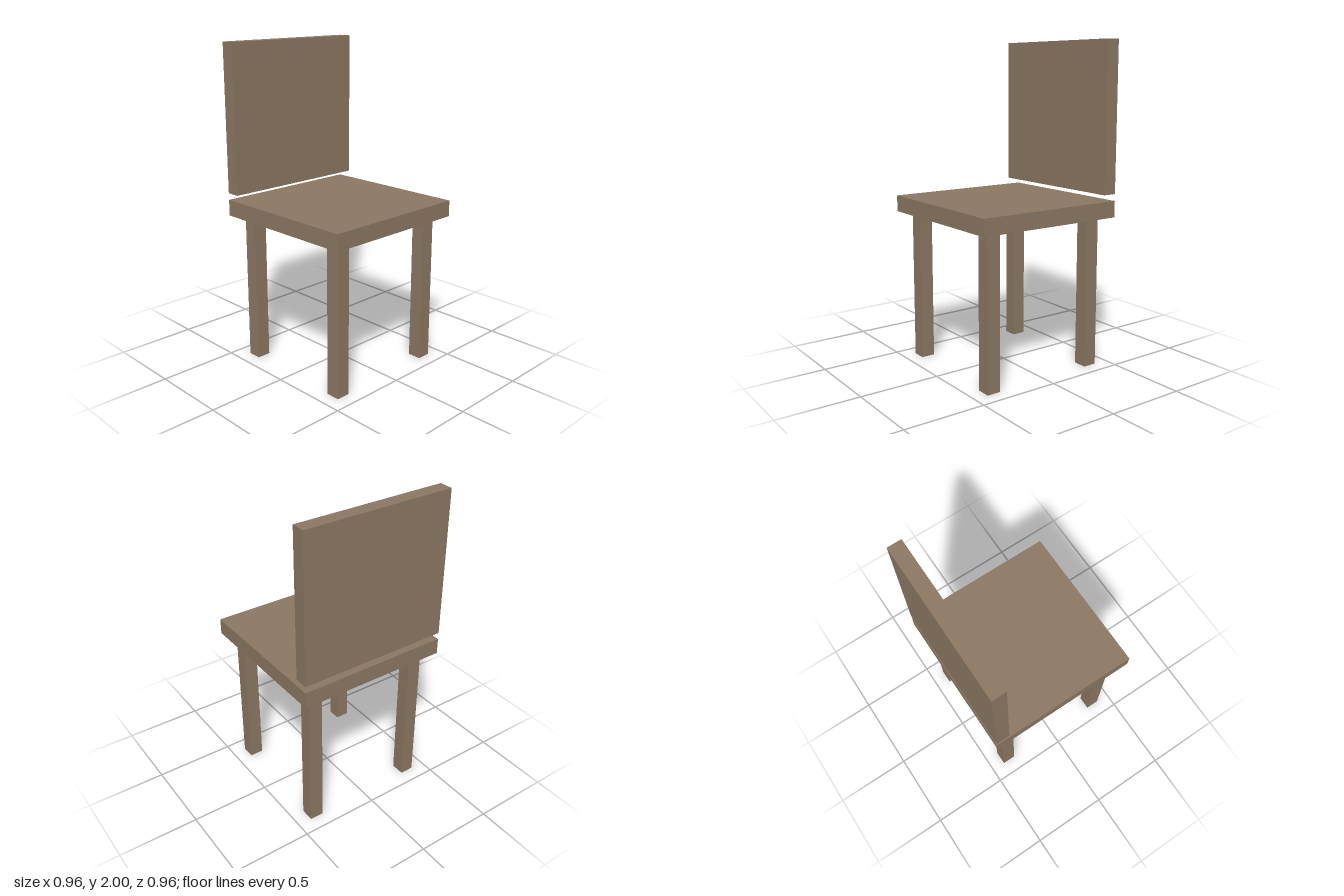
import * as THREE from 'three';

const WIDTH = 0.962;
const THICK = 0.087;
const LEG_HEIGHT = 0.94;
const SEAT_TOP = 1.041;
const BACK_BOTTOM = 1.083;
const LEG_OFFSET = 0.367;

export function createModel() {
  const model = new THREE.Group();
  model.name = 'chair';
  const wood = new THREE.MeshStandardMaterial({ color: 0x8b7762 });

  // Box given by its size, its bottom height and its centre on the floor plan
  function addBox(name, w, h, d, x, bottom, z) {
    const mesh = new THREE.Mesh(new THREE.BoxGeometry(w, h, d), wood);
    mesh.name = name;
    mesh.position.set(x, bottom + h / 2, z);
    model.add(mesh);
  }

  // Seat slab
  addBox('seat', WIDTH, SEAT_TOP - LEG_HEIGHT, WIDTH, 0, LEG_HEIGHT, 0);

  // Backrest, floating just above the rear edge of the seat
  addBox('backrest', WIDTH, 2 - BACK_BOTTOM, THICK, 0, BACK_BOTTOM, -(WIDTH - THICK) / 2);

  // Four square legs, left being +x
  for (const [side, sx] of [['Left', 1], ['Right', -1]]) {
    for (const [end, sz] of [['front', 1], ['back', -1]]) {
      addBox(`${end}${side}Leg`, THICK, LEG_HEIGHT, THICK, sx * LEG_OFFSET, 0, sz * LEG_OFFSET);
    }
  }

  return model;
}
